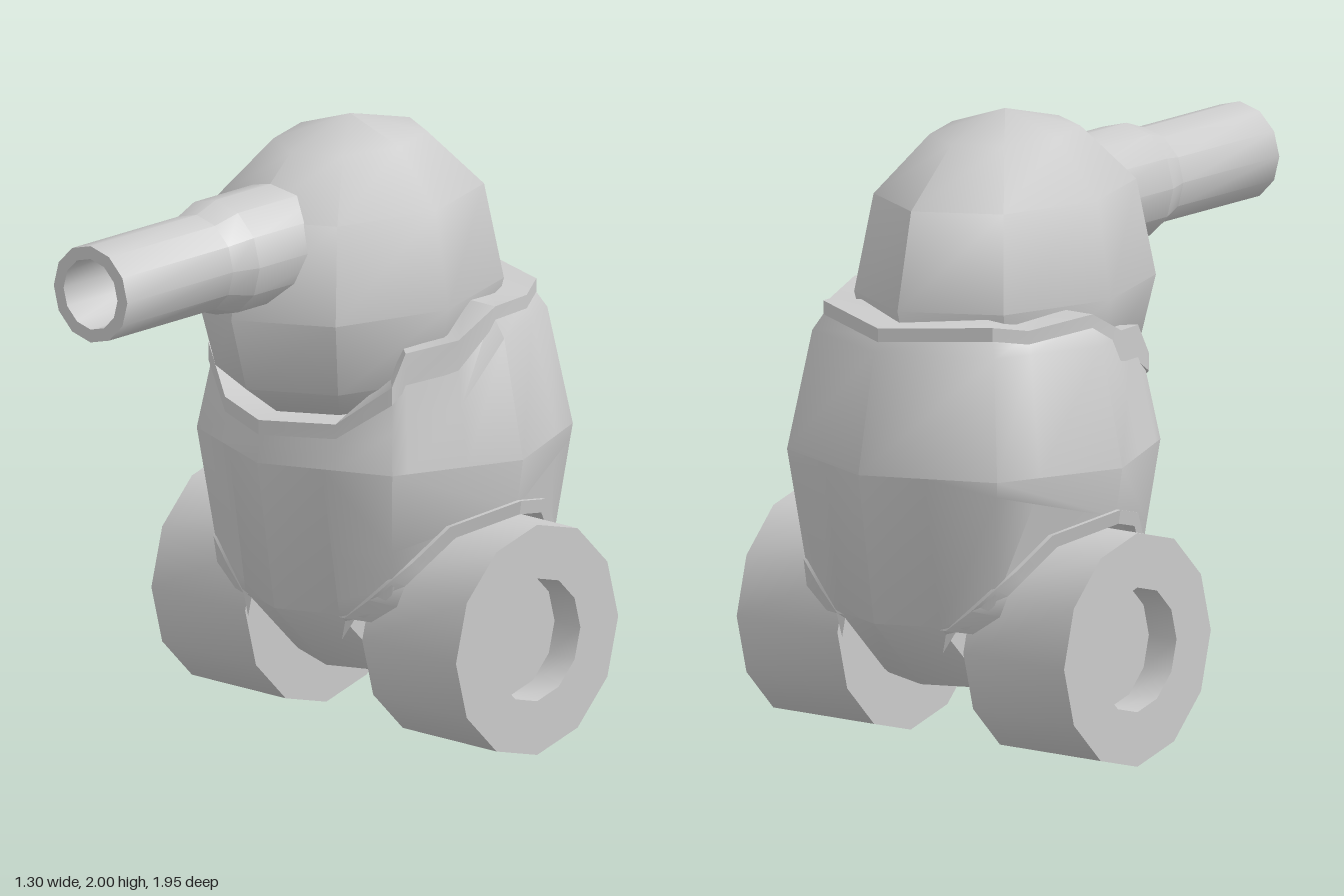
import * as THREE from 'three';
import { toCreasedNormals } from 'three/addons/utils/BufferGeometryUtils.js';

const V = (x, y, z) => new THREE.Vector3(x, y, z);
const rad = THREE.MathUtils.degToRad;
const AXIS_Z = -0.38;           // vertical axis of the body
const WHEEL_Y = 0.375;
const WELL_R = 0.415, WELL_X = 0.2;

function makeMesh(name, geometry, crease = 0.85) {
  const material = new THREE.MeshStandardMaterial({ color: 0xcccccc, side: THREE.DoubleSide });
  const mesh = new THREE.Mesh(toCreasedNormals(geometry, crease), material);
  mesh.name = name;
  return mesh;
}

// Flat convex polygons to triangles
function fromPolys(polys) {
  const pts = [];
  for (const p of polys)
    for (let i = 1; i + 1 < p.length; i++) pts.push(p[0], p[i], p[i + 1]);
  return new THREE.BufferGeometry().setFromPoints(pts);
}

// Quads between successive rows of points
function gridPolys(rows) {
  const polys = [];
  for (let i = 0; i + 1 < rows.length; i++)
    for (let j = 0; j + 1 < rows[i].length; j++)
      polys.push([rows[i][j], rows[i][j + 1], rows[i + 1][j + 1], rows[i + 1][j]]);
  return polys;
}

// Keep the part of a polygon where n.p <= d
function clip(poly, n, d) {
  const out = [];
  poly.forEach((a, i) => {
    const b = poly[(i + 1) % poly.length];
    const da = n.dot(a) - d, db = n.dot(b) - d;
    if (da <= 0) out.push(a);
    if (da * db < 0) out.push(a.clone().lerp(b, da / (da - db)));
  });
  return out;
}

// Eight-sided ring of points; corners face the four main directions
function ring(y, rx, rz, cz) {
  return Array.from({ length: 9 }, (_, i) => {
    const a = (i % 8) * Math.PI / 4;
    return V(rx * Math.sin(a), y, cz + rz * Math.cos(a));
  });
}

// Point on the octagonal body at an angle (0 = front)
function bodyPoint(a, r, y) {
  const m = ((a % (Math.PI / 4)) + Math.PI / 4) % (Math.PI / 4);
  const k = r * Math.cos(Math.PI / 8) / Math.cos(m - Math.PI / 8);
  return V(k * Math.sin(a), y, AXIS_Z + k * Math.cos(a));
}

const upperRadius = y => y < 1.33 ? 0.59 - (y - 0.95) * 0.21 : 0.51 - (y - 1.33) * 0.7;

// Lower shell before the wheel wells are cut, with its face planes
const shell = gridPolys([[0.17, 0.001], [0.225, 0.27], [0.46, 0.51], [0.95, 0.59]]
  .map(([y, r]) => ring(y, r, r, AXIS_Z)));
const planes = shell.map(p => {
  const n = p[2].clone().sub(p[0]).cross(p[3].clone().sub(p[1])).normalize();
  return { n, d: n.dot(p[2]) };
});
const surfaceX = (y, z) => Math.max(WELL_X, Math.min(...planes
  .filter(p => p.n.x > 0.01).map(({ n, d }) => (d - n.y * y - n.z * z) / n.x)));

// Remove a twelve-sided wheel well on side s
function cutWell(poly, s) {
  const nx = V(s, 0, 0);
  const out = [clip(poly, nx, WELL_X)];
  let rest = clip(poly, nx.clone().negate(), -WELL_X);
  for (let k = 0; k < 12; k++) {
    const a = rad(k * 30 + 15), n = V(0, Math.cos(a), Math.sin(a));
    const d = WELL_R * Math.cos(rad(15)) + n.y * WHEEL_Y + n.z * AXIS_Z;
    out.push(clip(rest, n.clone().negate(), -d));
    rest = clip(rest, n, d);
  }
  return out.filter(p => p.length > 2);
}

// Y and z of a point on a twelve-sided outline (0 = top)
function wellPoint(deg, r) {
  const m = ((deg % 30) + 30) % 30;
  const k = r * Math.cos(rad(15)) / Math.cos(rad(m - 15));
  return [WHEEL_Y + k * Math.cos(rad(deg)), AXIS_Z + k * Math.sin(rad(deg))];
}

// Wall, back plate and raised arch of one wheel well
function makeWell(s) {
  const group = new THREE.Group();
  group.name = s > 0 ? 'leftWheelWell' : 'rightWheelWell';
  const inner = [], outer = [], plate = [];
  for (let deg = 0; deg <= 360; deg += 10) {
    const [y, z] = wellPoint(deg, WELL_R);
    inner.push(V(s * WELL_X, y, z));
    outer.push(V(s * surfaceX(y, z), y, z));
    if (deg % 30 === 0 && deg < 360) plate.push(V(s * WELL_X, y, z));
  }
  const panel = planes.reduce((poly, { n, d }) => clip(poly, n, d), plate);
  if (s < 0) panel.reverse();
  const inside = inner.map((p, i) => [p, outer[i]]);
  const wall = gridPolys(inside).filter(q => q[1].x !== q[0].x || q[2].x !== q[3].x);
  group.add(makeMesh('wellWall', fromPolys(wall)), makeMesh('wellPlate', fromPolys([panel])));
  const rows = [];
  for (let deg = -80; deg <= 80; deg += 10) {
    const loop = [[0.395, 0.015], [0.44, 0.015], [0.44, -0.03], [0.395, -0.03]].map(([r, dx]) => {
      const [y, z] = wellPoint(deg, r);
      return V(s * (surfaceX(y, z) + dx), y, z);
    });
    rows.push([...loop, loop[0]]);
  }
  if (s < 0) rows.forEach(r => r.reverse());
  const arch = [...gridPolys(rows), rows[0].slice(0, 4).reverse(), rows.at(-1).slice(0, 4)];
  group.add(makeMesh('wheelArch', fromPolys(arch), 0.6));
  return group;
}

// Stepped collar line: angle from the front, height, band height
const half = [[0, 1.07, 0.03], [26, 1.08, 0.03], [45, 1.21, 0.04], [50, 1.31, 0.1],
  [71, 1.33, 0.08], [90, 1.41, 0.04], [120, 1.385, 0.03], [135, 1.405, 0.03], [180, 1.385, 0.03]];
const collarLine = [...half, ...half.slice(0, -1).reverse().map(([a, y, h]) => [360 - a, y, h])];

function makeBody() {
  const body = new THREE.Group();
  body.name = 'body';
  const lower = shell.flatMap(p => cutWell(p, 1)).flatMap(p => cutWell(p, -1));
  const upper = gridPolys([0, 1, 2].map(row => collarLine.map(([deg, top]) => {
    const y = [0.95, top > 1.33 ? 1.33 : (0.95 + top) / 2, top - 0.005][row];
    return bodyPoint(rad(deg), upperRadius(y), y);
  })));
  body.add(makeMesh('bodyShell', fromPolys([...lower, ...upper])), makeWell(1), makeWell(-1));

  // Collar closing the gap between body and head
  const section = [[-0.11, -1], [0.018, -1], [0.018, 0.5], [-0.11, 0.5], [-0.11, -1]];
  const rows = section.map(([dr, k]) => collarLine.map(([deg, y, h]) =>
    bodyPoint(rad(deg), upperRadius(y) + dr, y + (k < 0 ? -h : 0.018))));
  body.add(makeMesh('collar', fromPolys(gridPolys(rows)), 0.6));
  return body;
}

function makeHead() {
  const rows = [[1.06, 0.001, 0.001], [1.1, 0.25, 0.34], [1.2, 0.37, 0.48], [1.44, 0.42, 0.55],
    [1.75, 0.365, 0.48], [1.93, 0.21, 0.275], [2, 0.001, 0.001]]
    .map(([y, rx, rz]) => ring(y, rx, rz, -0.22));
  return makeMesh('head', fromPolys(gridPolys(rows)));
}

// Twelve-sided turned part from [radius, height] points
const turned = profile => new THREE.LatheGeometry(
  profile.map(([r, h]) => new THREE.Vector2(r, h)), 12);

export function createModel() {
  const model = new THREE.Group();
  model.name = 'model';
  model.add(makeBody(), makeHead());

  // Hollow barrel pointing forward
  const barrel = makeMesh('barrel', turned([[0, -0.1], [0.187, -0.1], [0.187, 0.4],
    [0.157, 0.49], [0.157, 0.98], [0.115, 0.98], [0.115, 0.7], [0, 0.7]])
    .rotateX(Math.PI / 2), 0.56);
  if (barrel.geometry) barrel.position.y = 1.66;
  model.add(barrel);

  // Wheels with a round recess in the outer face
  for (const s of [1, -1]) {
    const wheel = makeMesh(s > 0 ? 'leftWheel' : 'rightWheel', turned([[0, 0.25], [0.375, 0.25],
      [0.375, 0.65], [0.2, 0.65], [0.2, 0.54], [0, 0.54]]).rotateZ(-s * Math.PI / 2), 0.56);
    wheel.position.set(0, WHEEL_Y, AXIS_Z);
    model.add(wheel);
  }
  return model;
}
